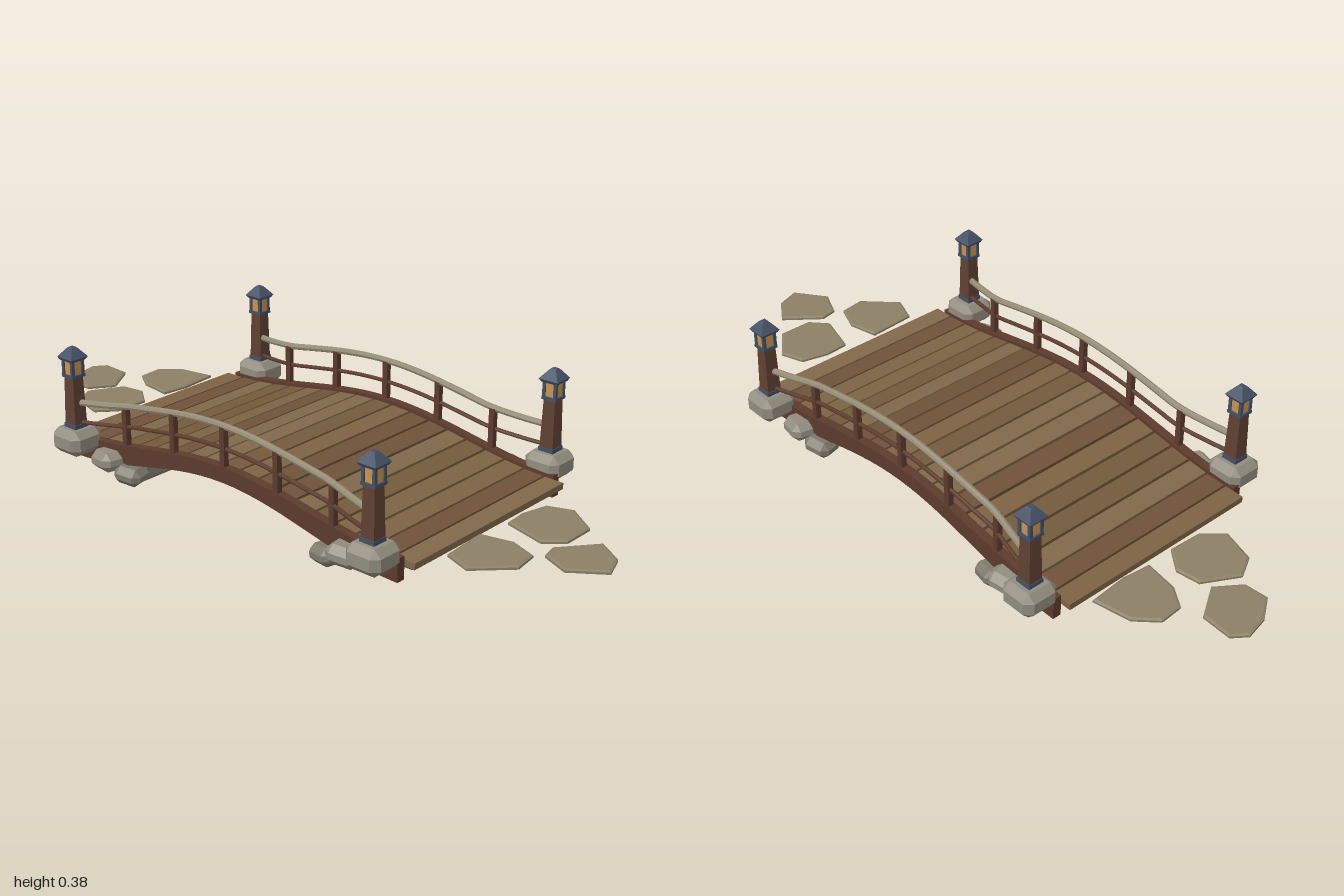
import * as THREE from 'three';
import { ConvexGeometry } from 'three/addons/geometries/ConvexGeometry.js';

const mat = (color) => new THREE.MeshStandardMaterial({ color, flatShading: true });
const M = {
  planks: [mat(0x7d6343), mat(0x745a3c), mat(0x80684a), mat(0x6f523a)],
  beam: mat(0x5c3b2d), post: mat(0x5f4032), under: mat(0x3d2e22),
  stone: mat(0x918c7e), rock: mat(0x7f7a6d), sill: mat(0x858175),
  path: mat(0x8c8066), rail: mat(0x958c76), roof: mat(0x435066), glow: mat(0xc8934f),
};

function add(parent, name, geometry, material, x = 0, y = 0, z = 0) {
  const mesh = new THREE.Mesh(geometry, material);
  mesh.name = name;
  mesh.position.set(x, y, z);
  parent.add(mesh);
  return mesh;
}

// Bell-shaped rise shared by deck, beams and rails: 1 at mid span, 0 at the ends
const rise = (x) => 0.5 * (1 + Math.cos(Math.PI * Math.min(Math.abs(x) / 0.6, 1)));
const deckTop = (x) => 0.09 + 0.067 * rise(x);

// Block with all edges and corners chamfered
function chamferBox(w, h, d, c) {
  const pts = [];
  for (const x of [-1, 1]) for (const y of [-1, 1]) for (const z of [-1, 1]) {
    for (let k = 0; k < 3; k++) {
      pts.push(new THREE.Vector3(
        x * (w / 2 - (k === 0 ? 0 : c)),
        y * (h / 2 - (k === 1 ? 0 : c)),
        z * (d / 2 - (k === 2 ? 0 : c))));
    }
  }
  return new ConvexGeometry(pts);
}

// Arched strip between two height curves, extruded across z
function archBand(half, top, bottom, depth) {
  const n = 28, pts = [];
  for (let i = 0; i <= n; i++) {
    const x = -half + 2 * half * i / n;
    pts.push(new THREE.Vector2(x, bottom(x)));
  }
  for (let i = n; i >= 0; i--) {
    const x = -half + 2 * half * i / n;
    pts.push(new THREE.Vector2(x, top(x)));
  }
  const g = new THREE.ExtrudeGeometry(new THREE.Shape(pts), { depth, bevelEnabled: false });
  return g.translate(0, 0, -depth / 2);
}

// Rail that follows the arch and flares out to the end posts
function railGeometry(side, base, height, radius) {
  const pts = [];
  for (let i = 0; i <= 24; i++) {
    const x = -0.53 + 1.06 * i / 24;
    const flare = Math.max(0, (Math.abs(x) - 0.37) / 0.16);
    pts.push(new THREE.Vector3(x, base + height * rise(x), side * (0.333 + 0.036 * flare)));
  }
  return new THREE.TubeGeometry(new THREE.CatmullRomCurve3(pts), 48, radius, 8);
}

// Square frustum with its sides facing the axes
function frustum(top, bottom, h) {
  return new THREE.CylinderGeometry(top * Math.SQRT1_2, bottom * Math.SQRT1_2, h, 4).rotateY(Math.PI / 4);
}

function lanternPost() {
  const g = new THREE.Group();
  g.name = 'lanternPost';
  add(g, 'footing', chamferBox(0.11, 0.074, 0.11, 0.02), M.stone, 0, 0.107, 0);
  add(g, 'collar', new THREE.BoxGeometry(0.047, 0.014, 0.047), M.roof, 0, 0.149, 0);
  add(g, 'post', frustum(0.036, 0.043, 0.15), M.post, 0, 0.222, 0);
  add(g, 'lanternBase', new THREE.BoxGeometry(0.046, 0.009, 0.046), M.roof, 0, 0.298, 0);
  add(g, 'lanternPane', new THREE.BoxGeometry(0.036, 0.05, 0.036), M.glow, 0, 0.324, 0);
  for (const x of [-1, 1]) for (const z of [-1, 1]) {
    add(g, 'lanternFrame', new THREE.BoxGeometry(0.009, 0.05, 0.009), M.roof, x * 0.0175, 0.324, z * 0.0175);
  }
  add(g, 'roofEaves', frustum(0.06, 0.05, 0.009), M.roof, 0, 0.348, 0);
  add(g, 'roof', frustum(0.024, 0.06, 0.023), M.roof, 0, 0.364, 0);
  add(g, 'roofCap', frustum(0.014, 0.024, 0.005), M.roof, 0, 0.378, 0);
  return g;
}

function steppingStone(parent, outline) {
  const shape = new THREE.Shape(outline.map(([x, z]) => new THREE.Vector2(x, -z)));
  const g = new THREE.ExtrudeGeometry(shape, {
    depth: 0.006, bevelThickness: 0.003, bevelSize: 0.006, bevelOffset: -0.006, bevelSegments: 1,
  });
  add(parent, 'steppingStone', g.rotateX(-Math.PI / 2), M.path, 0, 0.083, 0);
}

export function createModel() {
  const model = new THREE.Group();
  model.name = 'gardenBridge';
  const bridge = new THREE.Group();
  bridge.name = 'bridge';
  bridge.position.x = -0.006;
  model.add(bridge);

  // Deck planks, each tilted to the slope of the arch
  const count = 19, pitch = 1.265 / count;
  for (let i = 0; i < count; i++) {
    const x = (i - (count - 1) / 2) * pitch;
    const slope = (deckTop(x + 0.03) - deckTop(x - 0.03)) / 0.06;
    const plank = add(bridge, 'plank', new THREE.BoxGeometry(pitch - 0.007, 0.018, 0.636),
      M.planks[(i * 7 + (i >> 2)) % 4], x, deckTop(x) - 0.009, 0);
    plank.rotation.z = Math.atan(slope);
  }
  add(bridge, 'deckUnderside',
    archBand(0.62, (x) => deckTop(x) - 0.012, (x) => deckTop(x) - 0.022, 0.63), M.under);

  for (const s of [-1, 1]) {
    // Arched side beam and railing
    add(bridge, 'sideBeam',
      archBand(0.597, (x) => 0.1 + 0.067 * rise(x), (x) => 0.036 + 0.087 * rise(x), 0.026), M.beam, 0, 0, s * 0.331);
    add(bridge, 'handrail', railGeometry(s, 0.215, 0.066, 0.0095), M.rail);
    add(bridge, 'lowerRail', railGeometry(s, 0.157, 0.06, 0.006), M.beam);
    for (let i = -2; i <= 2; i++) {
      const x = i * 0.19, y0 = 0.095 + 0.067 * rise(x), y1 = 0.215 + 0.066 * rise(x);
      add(bridge, 'baluster', new THREE.BoxGeometry(0.017, y1 - y0, 0.017), M.beam, x, (y0 + y1) / 2, s * 0.333);
    }

    // Stone sill under each end
    add(bridge, 'sill', chamferBox(0.09, 0.067, 0.632, 0.017), M.sill, s * 0.385, 0.037, 0);

    // Lantern posts and rocks at the corners
    for (const e of [-1, 1]) {
      const post = lanternPost();
      post.position.set(e * 0.544, 0, s * 0.375);
      bridge.add(post);
      const upper = add(bridge, 'rock', chamferBox(0.094, 0.056, 0.088, 0.019), M.stone, e * 0.438, 0.066, s * 0.348);
      const lower = add(bridge, 'rock', chamferBox(0.086, 0.052, 0.08, 0.018), M.rock, e * 0.365, 0.037, s * 0.335);
      upper.rotation.set(0, e * s * 0.2, -e * 0.08);
      lower.rotation.set(0, -e * s * 0.25, e * 0.1);
    }
  }

  // Stepping stones leading to both ends, outlines as [x, z]
  const outlines = [
    [[-1, -0.07], [-0.97, -0.11], [-0.88, -0.105], [-0.82, -0.01], [-0.87, 0.06], [-0.94, 0.065], [-0.985, 0]],
    [[-0.825, -0.19], [-0.77, -0.245], [-0.66, -0.265], [-0.65, -0.15], [-0.66, -0.065], [-0.76, -0.08], [-0.82, -0.12]],
    [[-0.845, 0.08], [-0.79, -0.02], [-0.72, -0.03], [-0.655, 0.02], [-0.66, 0.12], [-0.71, 0.175], [-0.81, 0.145]],
    [[0.65, -0.09], [0.67, -0.17], [0.74, -0.195], [0.83, -0.13], [0.83, -0.03], [0.78, 0.015], [0.655, -0.02]],
    [[0.64, 0.08], [0.73, 0.06], [0.81, 0.09], [0.82, 0.165], [0.73, 0.255], [0.65, 0.225]],
    [[0.82, 0.02], [0.9, -0.08], [0.975, -0.03], [1, 0.04], [0.91, 0.105], [0.83, 0.07]],
  ];
  outlines.forEach((o) => steppingStone(model, o));
  return model;
}
